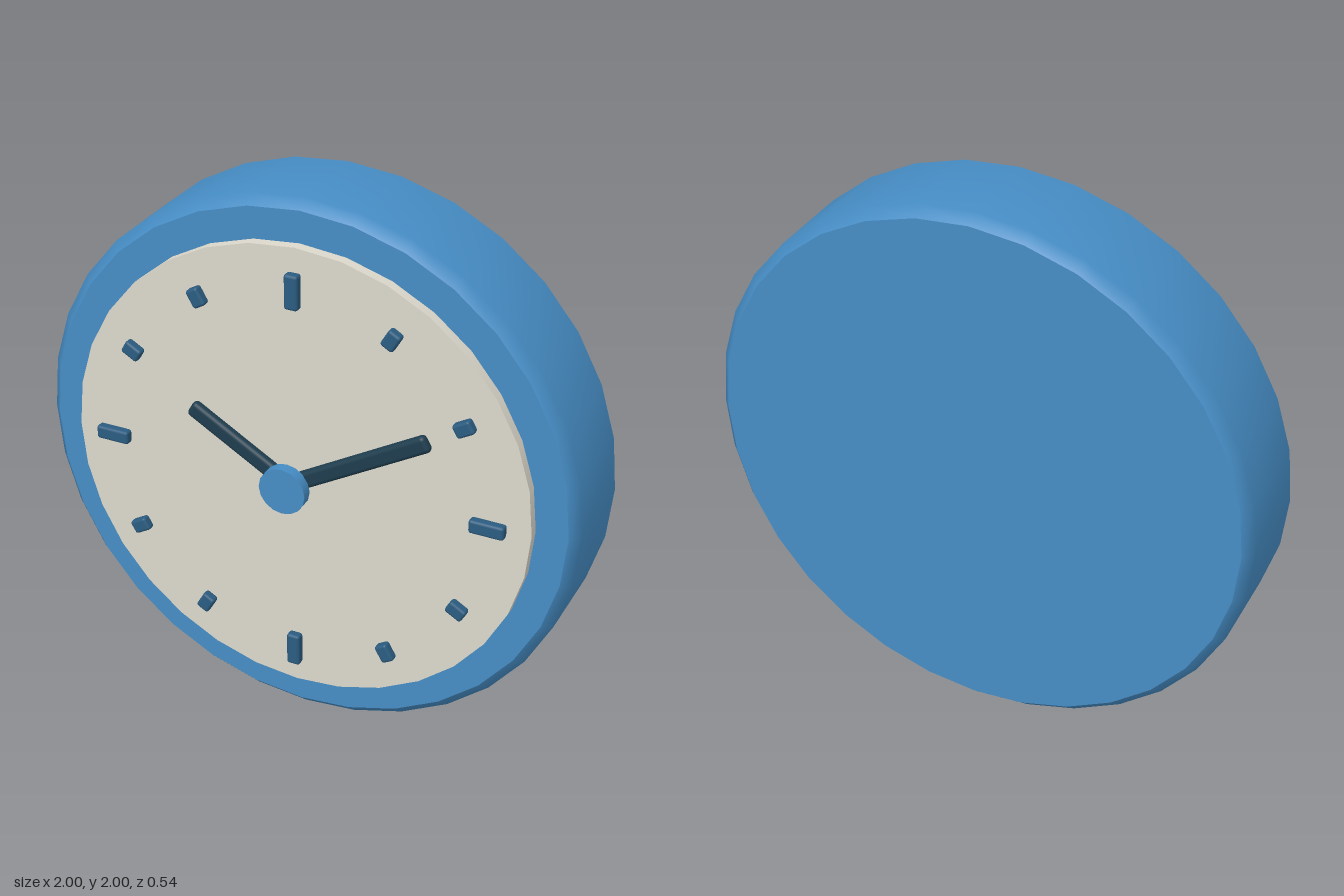
import * as THREE from 'three';
import { RoundedBoxGeometry } from 'three/addons/geometries/RoundedBoxGeometry.js';

const paint = (name, color) => {
  const m = new THREE.MeshStandardMaterial({ color });
  m.name = name;
  return m;
};

export function createModel() {
  const blue = paint('case blue', 0x468dc5);
  const cream = paint('dial cream', 0xdcd8cc);
  const navy = paint('marker blue', 0x2b5c80);
  const dark = paint('hand dark', 0x1e3d4e);

  const clock = new THREE.Group();
  clock.name = 'wallClock';
  const add = (name, geometry, material, parent = clock) => {
    const mesh = new THREE.Mesh(geometry, material);
    mesh.name = name;
    parent.add(mesh);
    return mesh;
  };
  // Disc facing +z between two depths, with a corner at the top
  const disc = (radius, back, front, sides) =>
    new THREE.CylinderGeometry(radius, radius, front - back, sides)
      .rotateX(Math.PI / 2).translate(0, 0, (back + front) / 2);

  // Case: bevelled rim closed by two flat caps
  const back = -0.27, front = 0.125, bevel = 0.035, sides = 32;
  const profile = [
    [1 - bevel, back], [1, back + bevel], [1, front - bevel], [1 - bevel, front],
  ].map(([r, z]) => new THREE.Vector2(r, z));
  const body = new THREE.Group();
  body.name = 'case';
  body.position.y = 1;
  clock.add(body);
  add('caseRim', new THREE.LatheGeometry(profile, sides).rotateX(Math.PI / 2), blue, body);
  const cap = new THREE.CircleGeometry(1 - bevel, sides);
  add('caseFront', cap, blue, body).position.z = front;
  const rear = add('caseBack', cap, blue, body);
  rear.position.z = back;
  rear.rotation.y = Math.PI;

  // Dial
  add('dial', disc(0.852, front, 0.162, sides), cream).position.y = 1;

  // Hour markers, longer at each quarter
  for (let i = 0; i < 12; i++) {
    const angle = i * Math.PI / 6;
    const length = i % 3 === 0 ? 0.125 : 0.068;
    const marker = add('hourMarker', new RoundedBoxGeometry(0.05, length, 0.036, 2, 0.01), navy);
    marker.position.set(0.705 * Math.sin(angle), 1 + 0.705 * Math.cos(angle), 0.179);
    marker.rotation.z = -angle;
  }

  // Hands, each starting at the centre
  const hand = (name, length, angle) => {
    const geometry = new RoundedBoxGeometry(0.062, length, 0.036, 3, 0.016)
      .translate(0, length / 2 - 0.02, 0);
    const mesh = add(name, geometry, dark);
    mesh.position.set(0, 1, 0.214);
    mesh.rotation.z = -angle;
  };
  hand('minuteHand', 0.6, Math.PI / 3);
  hand('hourHand', 0.445, -Math.PI / 3);

  // Centre hub
  add('hub', disc(0.086, 0.23, 0.27, 16), blue).position.y = 1;

  return clock;
}
